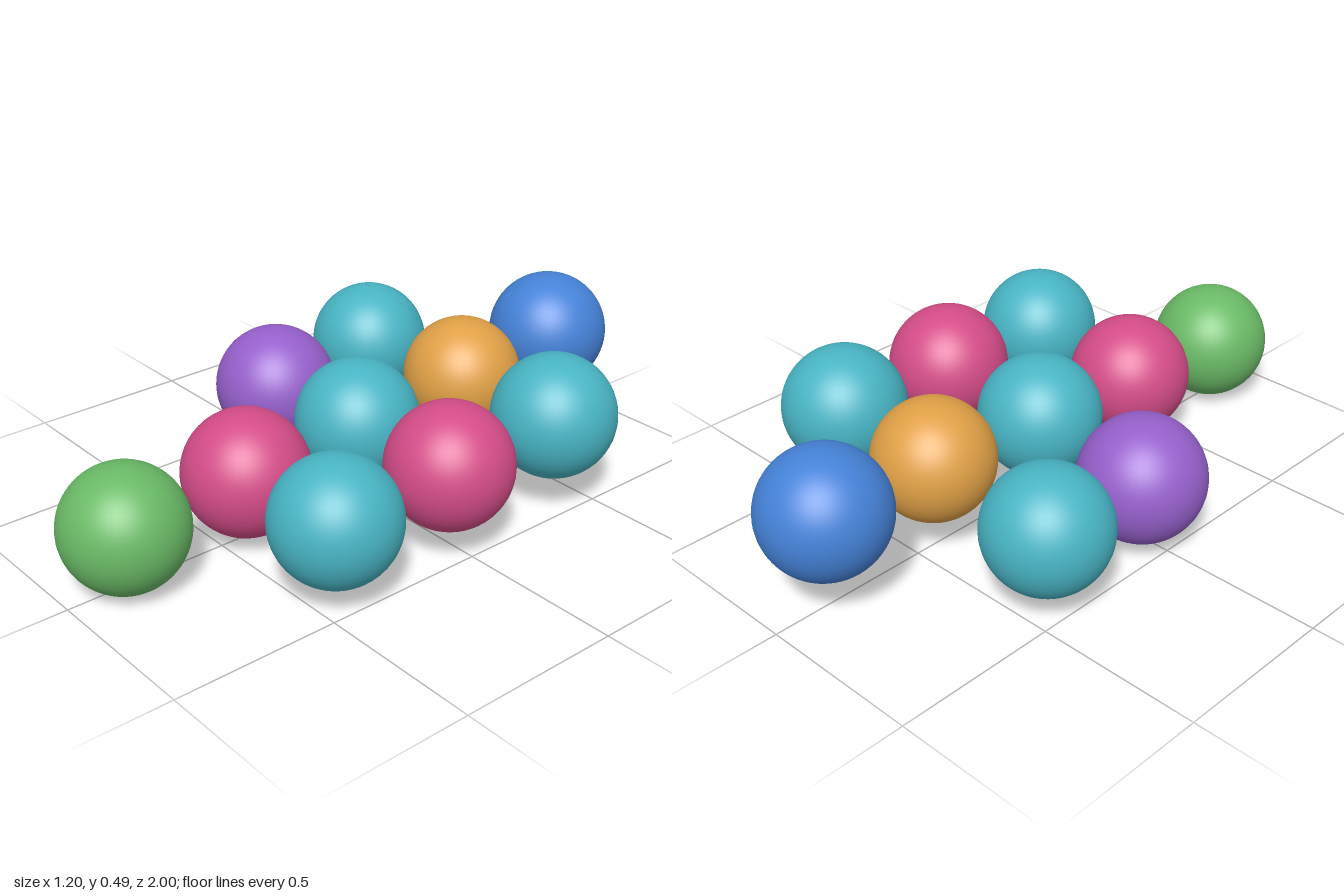
import * as THREE from 'three';

const material = (name, color) => {
  const m = new THREE.MeshStandardMaterial({ color });
  m.name = name;
  return m;
};

export function createModel() {
  const teal = material('teal', 0x48b4c4);
  const pink = material('pink', 0xd44c88);
  const purple = material('purple', 0x9660cc);
  const green = material('green', 0x6aba66);
  const orange = material('orange', 0xe0a046);
  const blue = material('blue', 0x4582d8);

  // Balls on a gently rising, slightly uneven grid: name, material, radius, x, y, z
  const balls = [
    ['frontBall', green, 0.183, 0.005, 0.185, 0.813],
    ['frontMiddleBall', pink, 0.186, 0.011, 0.214, 0.414],
    ['frontLeftBall', teal, 0.184, 0.41, 0.24, 0.419],
    ['centreBall', teal, 0.186, 0.006, 0.243, 0.003],
    ['leftBall', pink, 0.185, 0.41, 0.26, 0.012],
    ['rightBall', purple, 0.188, -0.401, 0.208, -0.006],
    ['backMiddleBall', orange, 0.18, 0.018, 0.271, -0.41],
    ['backLeftBall', teal, 0.186, 0.41, 0.28, -0.404],
    ['backRightBall', teal, 0.184, -0.418, 0.245, -0.407],
    ['backBall', blue, 0.187, -0.003, 0.302, -0.813],
  ];

  const model = new THREE.Group();
  model.name = 'ballCluster';
  const sphere = new THREE.SphereGeometry(1, 48, 32);
  for (const [name, mat, radius, x, y, z] of balls) {
    const ball = new THREE.Mesh(sphere, mat);
    ball.name = name;
    ball.scale.setScalar(radius);
    ball.position.set(x, y, z);
    model.add(ball);
  }
  return model;
}
